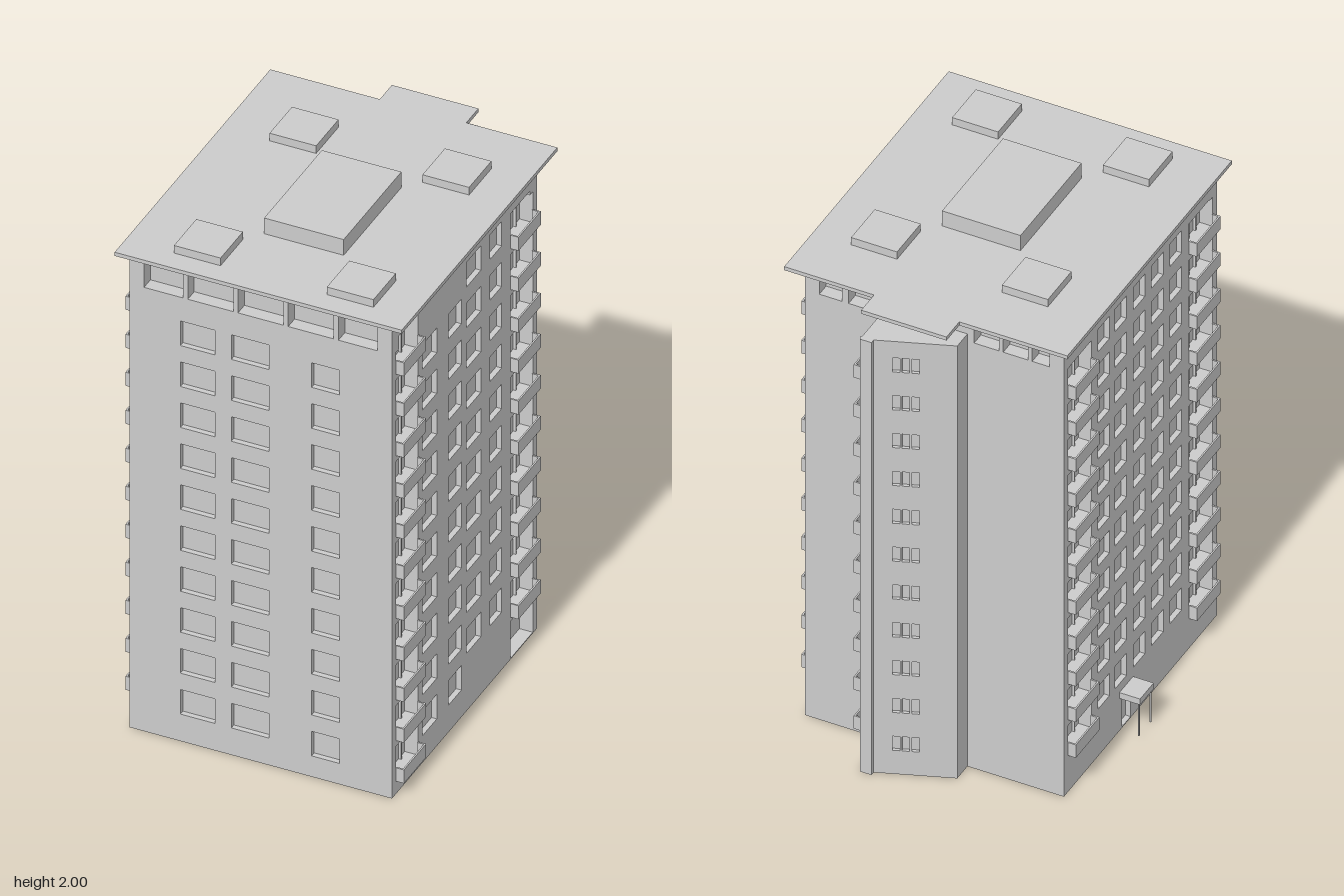
import * as THREE from 'three';

const material = new THREE.MeshStandardMaterial({ color: 0xcccccc, side: THREE.DoubleSide, flatShading: true });

function box(parent, name, w, h, d, x, y, z) {
  const mesh = new THREE.Mesh(new THREE.BoxGeometry(w, h, d), material);
  mesh.name = name;
  mesh.position.set(x, y, z);
  parent.add(mesh);
  return mesh;
}

function extrude(points, depth, holes = []) {
  const shape = new THREE.Shape(points.map(([x, y]) => new THREE.Vector2(x, y)));
  for (const [a, b, c, d] of holes) {
    shape.holes.push(new THREE.Path([[a, c], [a, d], [b, d], [b, c]].map(([x, y]) => new THREE.Vector2(x, y))));
  }
  return new THREE.ExtrudeGeometry(shape, { depth, bevelEnabled: false });
}

// A wall frame running from a to b in plan; its own +z points outwards
function wall(parent, name, [ax, az], [bx, bz]) {
  const group = new THREE.Group();
  group.name = name;
  group.position.set(ax, 0, az);
  group.rotation.y = Math.atan2(az - bz, bx - ax);
  group.userData.length = Math.hypot(bx - ax, bz - az);
  parent.add(group);
  return group;
}

// Panel with openings [u0, u1, y0, y1], closed at the back so they read as recesses
function panel(parent, name, u0, u1, y0, y1, depth, holes = []) {
  const mesh = new THREE.Mesh(extrude([[u0, y0], [u1, y0], [u1, y1], [u0, y1]], depth, holes), material);
  mesh.name = name;
  mesh.position.z = -depth;
  parent.add(mesh);
  if (holes.length) box(parent, name + 'Panes', u1 - u0, y1 - y0, 0.004, (u0 + u1) / 2, (y0 + y1) / 2, -depth - 0.002);
}

// One opening per floor for each column [u0, u1, first sill height, floors]
function windows(columns, height, pitch) {
  return columns.flatMap(([u0, u1, y, n]) =>
    Array.from({ length: n }, (_, i) => [u0, u1, y + i * pitch, y + i * pitch + height]));
}

// Stack of recessed loggias, each with a projecting balcony and window bars
function loggias(parent, u0, u1, a, b, top, y, n, pitch, depth, extra = []) {
  const holes = windows([[a, b, y, n]], pitch - 0.025, pitch);
  panel(parent, 'loggiaWall', u0, u1, 0, top, depth, [...holes, ...extra]);
  const w = b - a, m = (a + b) / 2, out = 0.03, rail = 0.055, t = 0.006;
  for (const [, , y0, y1] of holes) {
    const balcony = new THREE.Group();
    balcony.name = 'balcony';
    balcony.position.set(m, y0, 0);
    parent.add(balcony);
    box(balcony, 'balconyFloor', w, 0.01, out, 0, 0.005, out / 2);
    box(balcony, 'balconyRail', w, rail, t, 0, rail / 2, out - t / 2);
    for (const s of [-1, 1]) box(balcony, 'balconySide', t, rail, out, s * (w - t) / 2, rail / 2, out / 2);
    for (const f of [-0.36, -0.06, 0.24]) {
      box(balcony, 'windowBar', t, y1 - y0, 0.01, f * w, (y1 - y0) / 2, -depth + 0.005);
    }
  }
}

export function createModel() {
  const model = new THREE.Group();
  const building = new THREE.Group();
  building.name = 'building';
  building.position.set(-0.0025, 0, 0.0425);
  building.rotation.y = 0.117;
  model.add(building);

  const X = 0.49, F = 0.584, B = -0.54, TOP = 1.922, ATTIC = 1.8, THIN = 0.02;
  const L = F - B;

  // Front wall with the attic openings above
  const front = wall(building, 'frontWall', [-X, F], [X, F]);
  panel(front, 'frontPanel', 0, 2 * X, 0, ATTIC, THIN,
    windows([[0.19, 0.32, 0.11, 10], [0.38, 0.52, 0.11, 10], [0.68, 0.784, 0.085, 10]], 0.1, 0.167));
  panel(front, 'frontAttic', 0, 2 * X, ATTIC, TOP, 0.05,
    [0, 1, 2, 3, 4].map(i => [0.03 + i * 0.1875, 0.2 + i * 0.1875, ATTIC + 0.01, TOP - 0.004]));

  // Side wall on +x: loggias at both ends, windows between
  const sideA = wall(building, 'sideWallA', [X, F], [X, B]);
  loggias(sideA, 0, 0.22, 0.03, 0.203, TOP, 0.052, 11, 0.166, 0.05);
  panel(sideA, 'sidePanelA', 0.22, 0.9, 0, TOP, THIN, windows([
    [0.237, 0.348, 0.11, 10], [0.438, 0.539, 0.11, 10],
    [0.579, 0.69, 0.235, 10], [0.76, 0.851, 0.235, 10],
  ], 0.1, 0.166));
  loggias(sideA, 0.9, L, 0.92, 1.093, TOP, 0.172, 10, 0.167, 0.05, [[0.92, 1.093, 0.004, 0.155]]);

  // Side wall on -x: loggias at both ends, windows and the entrance between
  const sideB = wall(building, 'sideWallB', [-X, B], [-X, F]);
  loggias(sideB, 0, 0.22, 0.03, 0.203, TOP, 0.155, 11, 0.152, 0.05);
  panel(sideB, 'sidePanelB', 0.22, 0.9, 0, TOP, THIN, [
    ...windows([0.25, 0.375, 0.51, 0.645, 0.78].map(u => [u, u + 0.085, 0.2, 11]), 0.095, 0.152),
    [0.425, 0.49, 0.004, 0.12],
  ]);
  loggias(sideB, 0.9, L, 0.92, 1.093, TOP, 0.125, 11, 0.155, 0.05);
  box(sideB, 'entranceCanopy', 0.1, 0.025, 0.078, 0.458, 0.15, 0.039);
  for (const u of [0.415, 0.5]) box(sideB, 'canopyPost', 0.005, 0.14, 0.005, u, 0.07, 0.07);

  // Back wall with attic openings on both sides of the tower
  const back = wall(building, 'backWall', [X, B], [-X, B]);
  panel(back, 'backPanel', 0, 2 * X, 0, ATTIC, THIN);
  panel(back, 'backAttic', 0, 2 * X, ATTIC, TOP, 0.05,
    [[0.03, 0.14], [0.165, 0.275], [0.64, 0.735], [0.75, 0.845], [0.86, 0.95]]
      .map(([a, b]) => [a, b, ATTIC + 0.01, TOP - 0.004]));

  // Stair tower with a slanted rear face
  const P = [[0.184, B], [0.184, -0.731], [-0.125, -0.615], [-0.125, B]], T = 1.84;
  const tower = new THREE.Group();
  tower.name = 'stairTower';
  building.add(tower);
  const towerSide = wall(tower, 'towerBalconySide', P[0], P[1]);
  loggias(towerSide, 0, towerSide.userData.length, 0.036, 0.178, T, 0.163, 10, 0.166, 0.04);
  const slant = wall(tower, 'towerSlantedWall', P[1], P[2]);
  panel(slant, 'towerPanel', 0, slant.userData.length, 0, T, 0.012,
    windows([0.11, 0.143, 0.176].map(u => [u, u + 0.026, 0.1, 11]), 0.06, 0.161));
  const plain = wall(tower, 'towerPlainSide', P[2], P[3]);
  panel(plain, 'towerPlainPanel', 0, plain.userData.length, 0, T, 0.012);
  const cap = new THREE.Mesh(extrude(P.map(([x, z]) => [x, -z]), 0.012), material);
  cap.name = 'towerCap';
  cap.rotation.x = -Math.PI / 2;
  cap.position.y = T - 0.012;
  tower.add(cap);

  // Overhanging roof slab with the step over the tower
  const roof = new THREE.Mesh(extrude([
    [-0.536, -0.604], [0.536, -0.604], [0.536, 0.604], [0.196, 0.604],
    [0.196, 0.698], [-0.127, 0.698], [-0.127, 0.604], [-0.536, 0.604],
  ], 0.015), material);
  roof.name = 'roofSlab';
  roof.rotation.x = -Math.PI / 2;
  roof.position.y = 1.921;
  building.add(roof);

  // Rooftop housings
  box(building, 'roofHouse', 0.297, 0.066, 0.448, 0.018, 1.967, 0.0625);
  for (const x of [-0.267, 0.304]) {
    for (const z of [-0.307, 0.435]) box(building, 'roofVent', 0.174, 0.032, 0.174, x, 1.951, z);
  }
  return model;
}
